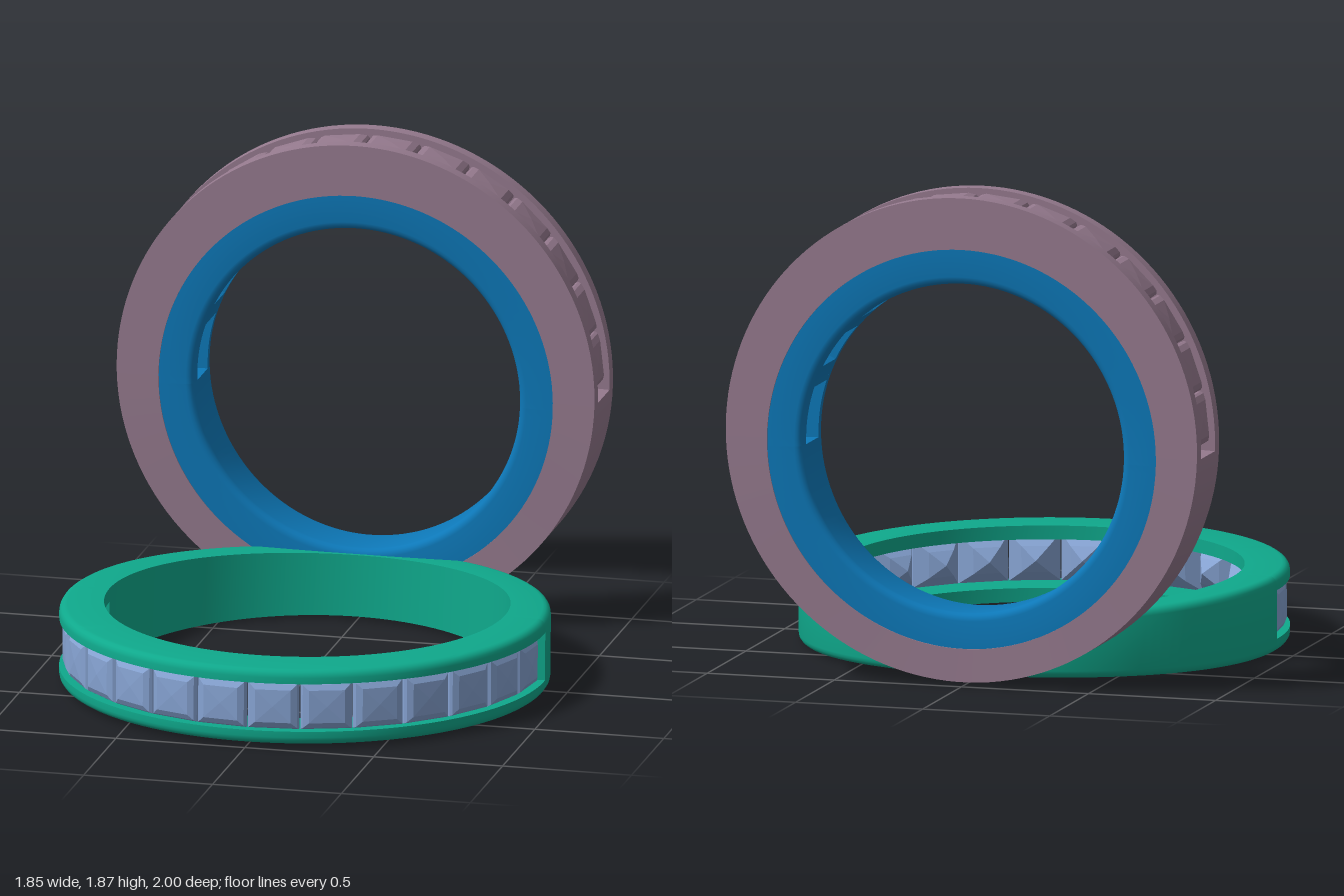
import * as THREE from 'three';
import { toCreasedNormals } from 'three/addons/utils/BufferGeometryUtils.js';

const GREEN = 0x0fa98c, BLUE = 0x0d78b8, MAUVE = 0x957a8e, STONE = 0x86a3d2;
const SLOT_END = Math.PI / 2 + 0.033; // slots cover a little over half the ring
const STONES = 14;

// Cross-section [radius, height], with optionally rounded inner or outer corners
function section(r0, r1, y0, y1, inner = [0, 0], outer = [0, 0]) {
  const pts = [];
  const corner = (r, y, f, start) => {
    if (!f) return pts.push([r, y]);
    const sr = r === r0 ? 1 : -1, sy = y === y0 ? 1 : -1;
    for (let i = 0; i <= 4; i++) {
      const t = start + (i / 4) * Math.PI / 2;
      pts.push([r + sr * f + f * Math.cos(t), y + sy * f + f * Math.sin(t)]);
    }
  };
  corner(r0, y0, inner[0], Math.PI);
  corner(r1, y0, outer[0], Math.PI * 1.5);
  corner(r1, y1, outer[1], 0);
  corner(r0, y1, inner[1], Math.PI / 2);
  return pts;
}

// Sweep a section around the y axis; angle 0 points to +z
function sweep(profile, a0, a1) {
  const steps = Math.max(2, Math.ceil((a1 - a0) / 0.045));
  const pos = [], idx = [];
  let n = 0;
  for (let i = 0; i <= steps; i++) {
    const a = a0 + (a1 - a0) * i / steps, p = profile(a);
    n = p.length;
    for (const [r, y] of p) pos.push(r * Math.sin(a), y, r * Math.cos(a));
  }
  for (let i = 0; i < steps; i++) for (let j = 0; j < n; j++) {
    const k = (j + 1) % n, a = i * n + j, b = a + n, c = (i + 1) * n + k, d = i * n + k;
    idx.push(a, b, c, a, c, d);
  }
  const e = steps * n;
  for (let j = 1; j < n - 1; j++) idx.push(0, j, j + 1, e, e + j + 1, e + j); // end caps
  const g = new THREE.BufferGeometry();
  g.setAttribute('position', new THREE.Float32BufferAttribute(pos, 3));
  g.setIndex(idx);
  return toCreasedNormals(g, 0.5);
}

function add(group, name, geometry, material) {
  const mesh = new THREE.Mesh(geometry, material);
  mesh.name = name;
  group.add(mesh);
  return mesh;
}

// Band with a slot through its front half; the bore is offset so the front is thicker
function slottedBand(name, color, { R, bore, offset, half, slot, fi = 0, fo = 0 }) {
  const group = new THREE.Group();
  group.name = name;
  const mat = new THREE.MeshStandardMaterial({ color });
  const hw = a => half - 0.026 * Math.min(0, Math.cos(a)) ** 2; // narrows to the rear
  const inR = a => -offset * Math.cos(a) + Math.sqrt(bore ** 2 - (offset * Math.sin(a)) ** 2);
  add(group, 'rearBand', sweep(a => section(inR(a), R, -hw(a), hw(a), [fi, fi], [fo, fo]),
    SLOT_END, 2 * Math.PI - SLOT_END), mat);
  add(group, 'upperRail', sweep(a => section(inR(a), R, slot, hw(a), [0, fi], [0, fo]), -SLOT_END, SLOT_END), mat);
  add(group, 'lowerRail', sweep(a => section(inR(a), R, -hw(a), -slot, [fi, 0], [fo, 0]), -SLOT_END, SLOT_END), mat);
  return group;
}

// Square-cut stones in a row along the slot
function stoneRow(color) {
  const row = new THREE.Group();
  row.name = 'stoneRow';
  const mat = new THREE.MeshStandardMaterial({ color, flatShading: true });
  const profile = [[0, -0.1], [0.55, -0.06], [0.99, -0.012], [1, 0.003], [0.93, 0.014], [0.7, 0.026], [0, 0.03]]
    .map(([s, y]) => new THREE.Vector2(s * Math.SQRT2, y));
  const geo = new THREE.LatheGeometry(profile, 4).rotateY(Math.PI / 4)
    .scale(0.097, 1, 0.091).rotateX(Math.PI / 2); // table faces +z
  for (let i = 0; i < STONES; i++) {
    const a = ((i + 0.5) / STONES - 0.5) * Math.PI;
    const stone = add(row, 'stone', geo, mat);
    stone.position.set(0.884 * Math.sin(a), 0, 0.884 * Math.cos(a));
    stone.rotation.y = a;
  }
  return row;
}

export function createModel() {
  const model = new THREE.Group();
  model.name = 'ringPair';

  // Ring lying flat
  const flat = slottedBand('flatRing', GREEN,
    { R: 0.925, bore: 0.765, offset: 0.035, half: 0.146, slot: 0.093, fo: 0.03 });
  flat.add(stoneRow(STONE));
  flat.position.set(0, 0.151, 0.07);
  flat.rotation.x = -0.0154;

  // Ring standing behind it, slot upwards
  const upright = slottedBand('uprightRing', MAUVE,
    { R: 0.927, bore: 0.765, offset: 0.035, half: 0.143, slot: 0.09 });
  upright.add(stoneRow(MAUVE));
  upright.position.set(0, 0.943, -0.857);
  upright.rotation.x = -Math.PI / 2;

  // Inner sleeve of the upright ring, with pockets opening to the bore
  const sleeve = slottedBand('innerSleeve', BLUE,
    { R: 0.766, bore: 0.63, offset: 0, half: 0.138, slot: 0.08, fi: 0.03 });
  const mat = new THREE.MeshStandardMaterial({ color: BLUE });
  add(sleeve, 'pocketFloor', sweep(() => section(0.73, 0.766, -0.08, 0.08), -SLOT_END, SLOT_END), mat);
  for (let i = 1; i < 8; i++) {
    const a = (i / 8 - 0.5) * Math.PI;
    add(sleeve, 'pocketBridge', sweep(() => section(0.63, 0.74, -0.08, 0.08), a - 0.07, a + 0.07), mat);
  }
  sleeve.position.z = -0.035;
  upright.add(sleeve);

  model.add(flat, upright);
  return model;
}
